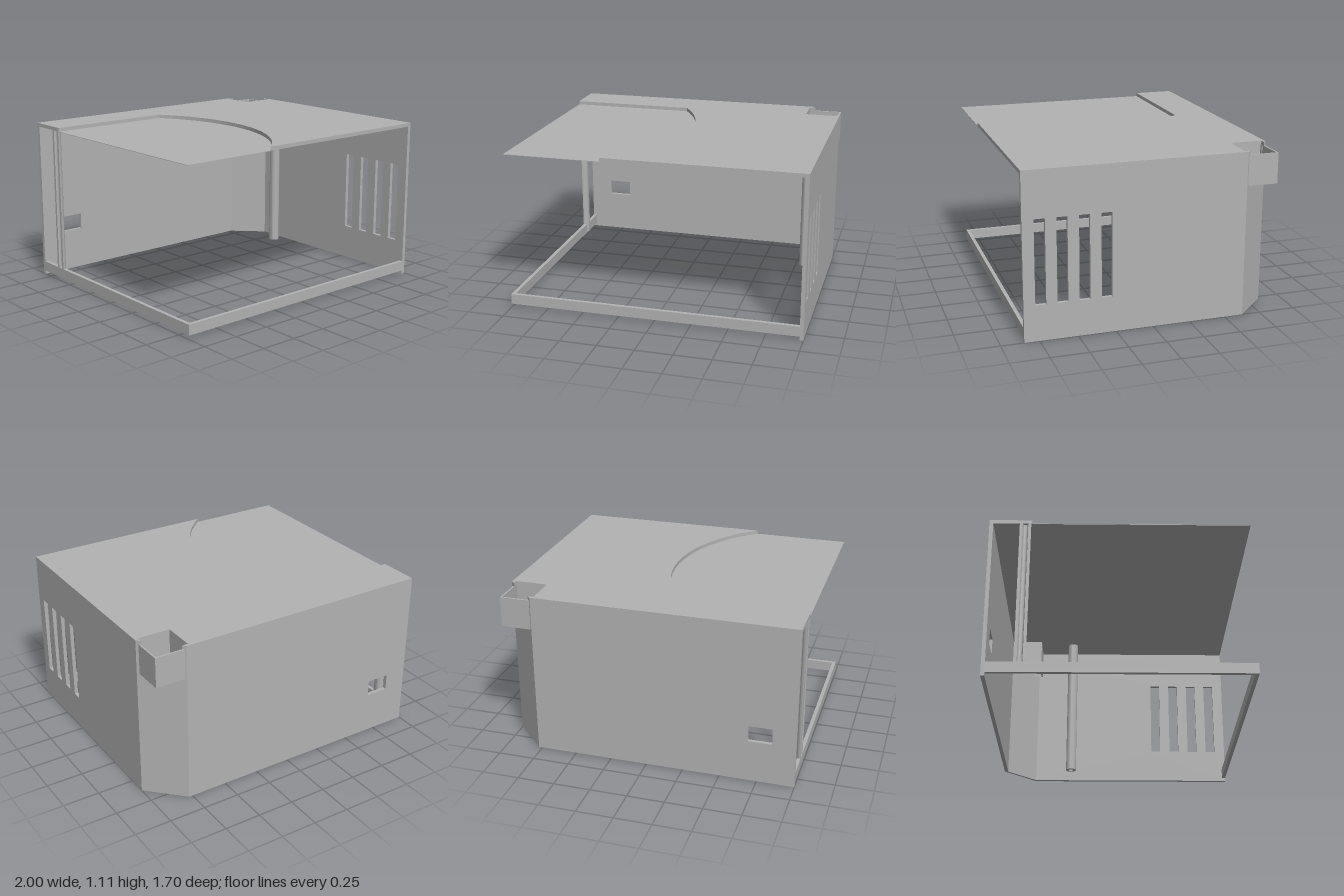
import * as THREE from 'three';
import { toCreasedNormals } from 'three/addons/utils/BufferGeometryUtils.js';

const H = 1.11, ROOF = 1.085, T = 0.025, X = 1, Z = 0.85;
const ARC = { x: -1.02, z: 0.03, r: 1.065 };

export function createModel() {
  const model = new THREE.Group();
  const grey = new THREE.MeshStandardMaterial({ color: 0xb2b2b2 });
  grey.name = 'plain grey';

  const add = (name, geometry, x = 0, y = 0, z = 0) => {
    const mesh = new THREE.Mesh(geometry, grey);
    mesh.name = name;
    mesh.position.set(x, y, z);
    model.add(mesh);
  };
  const box = (name, x0, x1, y0, y1, z0, z1) =>
    add(name, new THREE.BoxGeometry(x1 - x0, y1 - y0, z1 - z0), (x0 + x1) / 2, (y0 + y1) / 2, (z0 + z1) / 2);
  const outline = (pts) => new THREE.Shape(pts.map(([a, b]) => new THREE.Vector2(a, b)));
  const rect = (a0, a1, b0, b1) => outline([[a0, b0], [a1, b0], [a1, b1], [a0, b1]]);
  const extrude = (shape, depth) =>
    new THREE.ExtrudeGeometry(shape, { depth, bevelEnabled: false, curveSegments: 24 });
  // floor plan given as [x, z], raised from y0 to y1
  const plan = (name, pts, y0, y1) =>
    add(name, extrude(outline(pts.map(([x, z]) => [x, -z])), y1 - y0).rotateX(-Math.PI / 2), 0, y0, 0);

  // Curved edge of the recess, from the front edge towards the back
  const a0 = Math.asin((Z - ARC.z) / ARC.r), a1 = Math.asin((-0.57 - ARC.z) / ARC.r);
  const curve = [];
  for (let i = 0; i <= 32; i++) {
    const a = a0 + (a1 - a0) * i / 32;
    curve.push([ARC.x + ARC.r * Math.cos(a), ARC.z + ARC.r * Math.sin(a)]);
  }

  // Roof with corner opening, and the thin recessed sheet
  plan('roof', [
    [-X, -Z], [0.775, -Z], [0.795, -0.83], [0.755, -0.83], [0.755, -0.61],
    [0.975, -0.61], [0.975, -0.65], [X, -0.625], [X, Z], ...curve, [-X, -0.57],
  ], ROOF, H);
  plan('recessedSheet', [[-X, Z], ...curve, [-X, -0.57]], ROOF - 0.003, ROOF);

  // Back wall with a small window
  const back = rect(-X, 0.775, 0, ROOF);
  back.holes.push(rect(-0.845, -0.685, 0.29, 0.4));
  add('backWall', extrude(back, T), 0, 0, -Z);

  // Right wall with four vertical vents
  const side = rect(-Z, 0.625, 0, ROOF);
  for (const z of [0.74, 0.598, 0.455, 0.311]) side.holes.push(rect(-z - 0.035, -z + 0.035, 0.24, 0.8));
  add('ventedWall', extrude(side, T).rotateY(Math.PI / 2), X - T, 0, 0);

  // Chamfered corner wall, cut away inside the pocket
  plan('cornerWall', [[0.775, -Z], [X, -0.625], [0.975, -0.625], [0.775, -0.825]], 0, 0.88);
  plan('cornerWallBackEnd', [[0.775, -Z], [0.795, -0.83], [0.775, -0.83]], 0.88, ROOF);
  plan('cornerWallSideEnd', [[X, -0.625], [0.975, -0.625], [0.975, -0.65]], 0.88, ROOF);

  // Open square pocket through the corner
  box('pocketBack', 0.745, 0.987, 0.88, ROOF, -0.842, -0.83);
  box('pocketFront', 0.745, 0.987, 0.88, ROOF, -0.61, -0.6);
  box('pocketLeft', 0.745, 0.755, 0.88, ROOF, -0.83, -0.61);
  box('pocketRight', 0.975, 0.987, 0.88, ROOF, -0.83, -0.61);

  // Base rails
  box('frontRail', -X, X - T, 0.025, 0.095, Z - T, Z);
  box('sideRail', -X, -X + T, 0.025, 0.095, -Z + T, Z - T);

  // Hollow posts: one full, one sliced in half by the open side
  const post = (name, shape, x, z) =>
    add(name, toCreasedNormals(extrude(shape, ROOF - 0.03).rotateX(-Math.PI / 2), 0.6), x, 0.03, z);
  const full = new THREE.Shape().absarc(0, 0, 0.0375, 0, Math.PI * 2, false);
  full.holes.push(new THREE.Path().absarc(0, 0, 0.018, 0, Math.PI * 2, true));
  post('cornerPost', full, 0.822, -0.35);
  const half = new THREE.Shape();
  half.absarc(0, 0, 0.0375, -Math.PI / 2, Math.PI / 2, false);
  half.absarc(0, 0, 0.018, Math.PI / 2, -Math.PI / 2, true);
  post('halfPost', half, -X, -0.615);

  return model;
}
